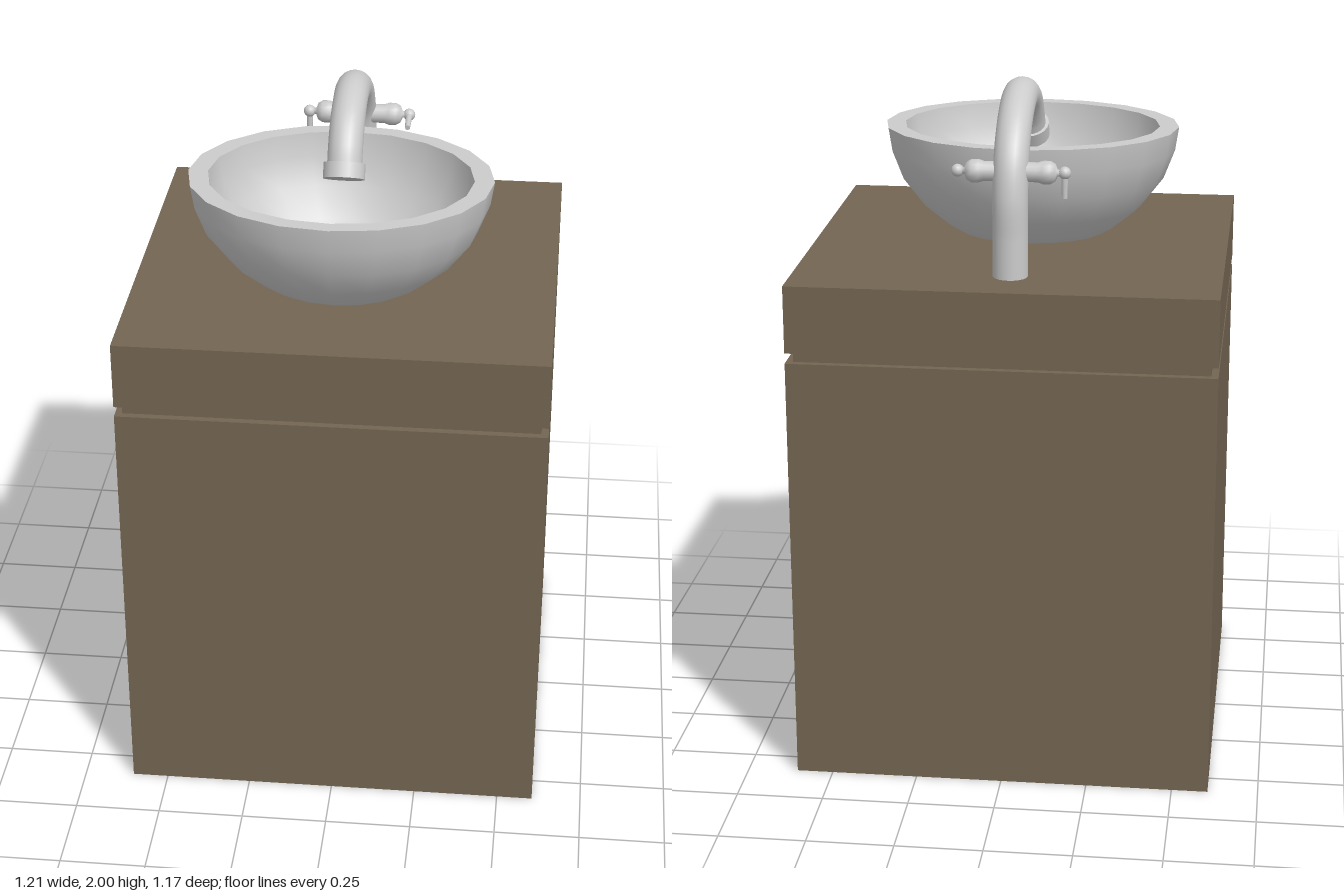
import * as THREE from 'three';

const wood = new THREE.MeshStandardMaterial({ color: 0x736552 });
const grey = new THREE.MeshStandardMaterial({ color: 0xcccccc });
const ceramic = new THREE.MeshStandardMaterial({ color: 0xcccccc, side: THREE.DoubleSide });

function add(parent, name, geometry, material, x = 0, y = 0, z = 0) {
  const mesh = new THREE.Mesh(geometry, material);
  mesh.name = name;
  mesh.position.set(x, y, z);
  parent.add(mesh);
  return mesh;
}

const profile = (pairs) => pairs.map(([r, y]) => new THREE.Vector2(r, y));

// Cabinet: body, recessed gap and thick countertop
function createCabinet() {
  const cabinet = new THREE.Group();
  cabinet.name = 'cabinet';
  const slab = (name, y0, y1, inset) => add(cabinet, name,
    new THREE.BoxGeometry(1.21 - 2 * inset, y1 - y0, 1.17 - 2 * inset), wood, 0, (y0 + y1) / 2, 0);
  slab('cabinetBody', 0, 1.265, 0);
  slab('shadowGap', 1.265, 1.295, 0.02);
  slab('countertop', 1.295, 1.49, 0);
  return cabinet;
}

// Oval basin: unit-radius lathes stretched to an ellipse, split where edges are sharp
function createBasin() {
  const basin = new THREE.Group();
  basin.name = 'basin';
  basin.position.set(-0.015, 1.49, 0.115);
  const shells = {
    basinOutside: [[0.5, 0], [0.58, 0.02], [0.75, 0.08], [0.9, 0.165], [0.975, 0.25], [1, 0.32]],
    basinRim: [[1, 0.32], [0.87, 0.32]],
    basinInside: [[0.87, 0.32], [0.845, 0.25], [0.76, 0.165], [0.6, 0.085], [0.4, 0.035], [0.15, 0.012]],
    drainEdge: [[0.15, 0.012], [0.15, 0]],
  };
  for (const [name, points] of Object.entries(shells)) {
    const geometry = new THREE.LatheGeometry(profile(points), 20);
    geometry.scale(0.435, 1, 0.352);
    add(basin, name, geometry, ceramic);
  }
  return basin;
}

// Handle turned about its own axis, with a ball knob and a thin lever
function createHandle(side) {
  const handle = new THREE.Group();
  handle.name = side > 0 ? 'leftHandle' : 'rightHandle';
  const stem = new THREE.LatheGeometry(profile([
    [0.028, 0], [0.028, 0.075], [0.033, 0.09], [0.033, 0.11], [0.025, 0.124],
    [0.01, 0.13], [0.01, 0.142],
  ]), 16);
  add(handle, 'handleStem', stem, grey).rotation.z = -side * Math.PI / 2;
  add(handle, 'handleKnob', new THREE.SphereGeometry(0.018, 14, 10), grey, side * 0.15, 0, 0);
  const lever = add(handle, 'handleLever', new THREE.CylinderGeometry(0.01, 0.008, 0.07, 10), grey, side * 0.15, 0, 0);
  // one lever points forward, the other hangs down
  if (side > 0) {
    lever.position.z = 0.037;
    lever.position.y = -0.006;
    lever.rotation.x = -Math.PI / 2 + 0.15;
  } else {
    lever.position.y = -0.037;
  }
  handle.position.set(-0.01, 1.785, -0.39);
  return handle;
}

// Gooseneck faucet: straight riser, arched spout and end collar
function createFaucet() {
  const faucet = new THREE.Group();
  faucet.name = 'faucet';
  const x = -0.01;
  const path = new THREE.CatmullRomCurve3([
    [1.49, -0.41], [1.6, -0.41], [1.72, -0.41], [1.82, -0.38], [1.905, -0.295],
    [1.95, -0.16], [1.92, -0.035], [1.86, 0.035], [1.8, 0.07],
  ].map(([y, z]) => new THREE.Vector3(x, y, z)));
  add(faucet, 'spout', new THREE.TubeGeometry(path, 40, 0.05, 20), grey);
  const collar = add(faucet, 'spoutCollar', new THREE.CylinderGeometry(0.06, 0.06, 0.045, 20), grey, x, 1.805, 0.07);
  collar.rotation.x = -0.52;
  faucet.add(createHandle(1), createHandle(-1));
  return faucet;
}

export function createModel() {
  const model = new THREE.Group();
  model.name = 'washstand';
  model.add(createCabinet(), createBasin(), createFaucet());
  return model;
}
